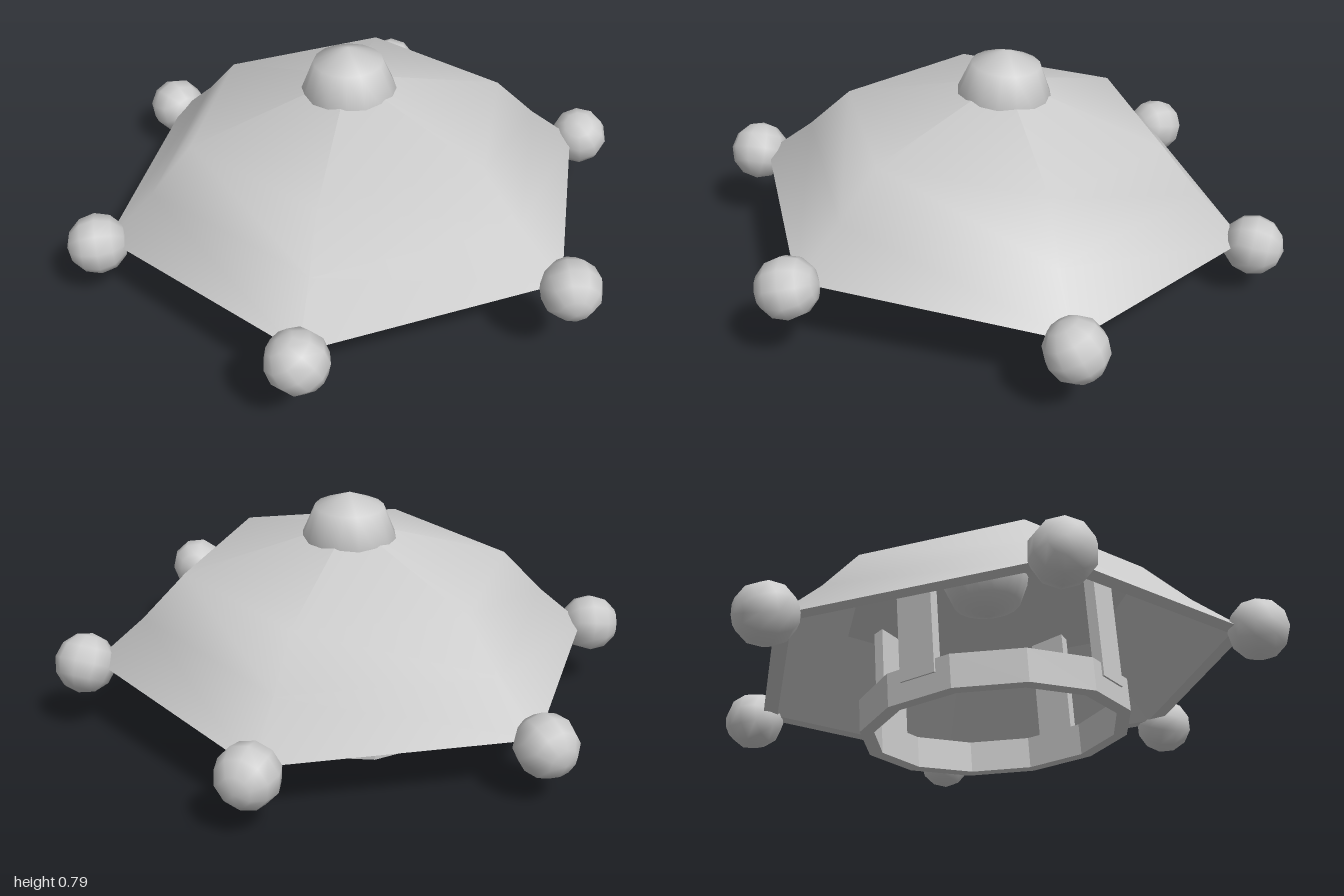
import * as THREE from 'three';

const TILT = -0.068;   // the front sits a little higher than the back
const PIVOT = 0.24;    // height of the rim plane

const smooth = new THREE.MeshStandardMaterial({ color: 0xcccccc });
const flat = new THREE.MeshStandardMaterial({ color: 0xcccccc, flatShading: true });

function add(parent, name, geometry, material) {
  const mesh = new THREE.Mesh(geometry, material);
  mesh.name = name;
  parent.add(mesh);
  return mesh;
}

// Revolve [radius, height] pairs; heights are relative to the rim plane
function revolve(profile, sides, start = 0) {
  const points = profile.map(([r, y]) => new THREE.Vector2(r, y - PIVOT));
  return new THREE.LatheGeometry(points, sides, start);
}

export function createModel() {
  const model = new THREE.Group();
  const body = new THREE.Group();
  body.name = 'saucer';
  body.position.y = PIVOT;
  body.rotation.x = TILT;
  model.add(body);

  // Hexagonal hull, corners on the x axis: smooth outside, rim face, faceted inside
  const corner = Math.PI / 6;
  add(body, 'hullShell', revolve([[0.867, 0.24], [0.7, 0.385], [0.555, 0.537], [0, 0.69]], 6, corner), smooth);
  add(body, 'hullRim', revolve([[0.81, 0.238], [0.867, 0.24]], 6, corner), flat);
  add(body, 'hullInside', revolve([[0, 0.64], [0.53, 0.495], [0.81, 0.238]], 6, corner), flat);

  // Dome on the top
  const dome = add(body, 'topDome', new THREE.SphereGeometry(0.165, 16, 4), smooth);
  dome.position.y = 0.627 - PIVOT;

  // Round lights, one on each corner, each turned differently
  for (let i = 0; i < 6; i++) {
    const a = (i * Math.PI) / 3;
    const ball = add(body, 'cornerBall', new THREE.SphereGeometry(0.102, 10, 6), smooth);
    ball.position.set(0.9 * Math.cos(a), 0.235 - PIVOT, 0.9 * Math.sin(a));
    ball.rotation.set(0.5 + i * 0.7, i * 1.1, 0.3 + i * 0.4);
  }

  // Landing ring
  const section = [[0.457, 0.034], [0.457, 0.146], [0.41, 0.146], [0.41, 0.034], [0.457, 0.034]];
  add(body, 'landingRing', revolve(section, 12), flat);

  // Four flat struts between the ring and the hull, on the diagonals
  const bottom = 0.1, top = 0.53;
  for (let i = 0; i < 4; i++) {
    const a = Math.PI / 4 + (i * Math.PI) / 2;
    const strut = add(body, 'strut', new THREE.BoxGeometry(0.13, top - bottom, 0.036), flat);
    strut.position.set(0.43 * Math.sin(a), (bottom + top) / 2 - PIVOT, 0.43 * Math.cos(a));
    strut.rotation.y = a;
  }

  return model;
}
